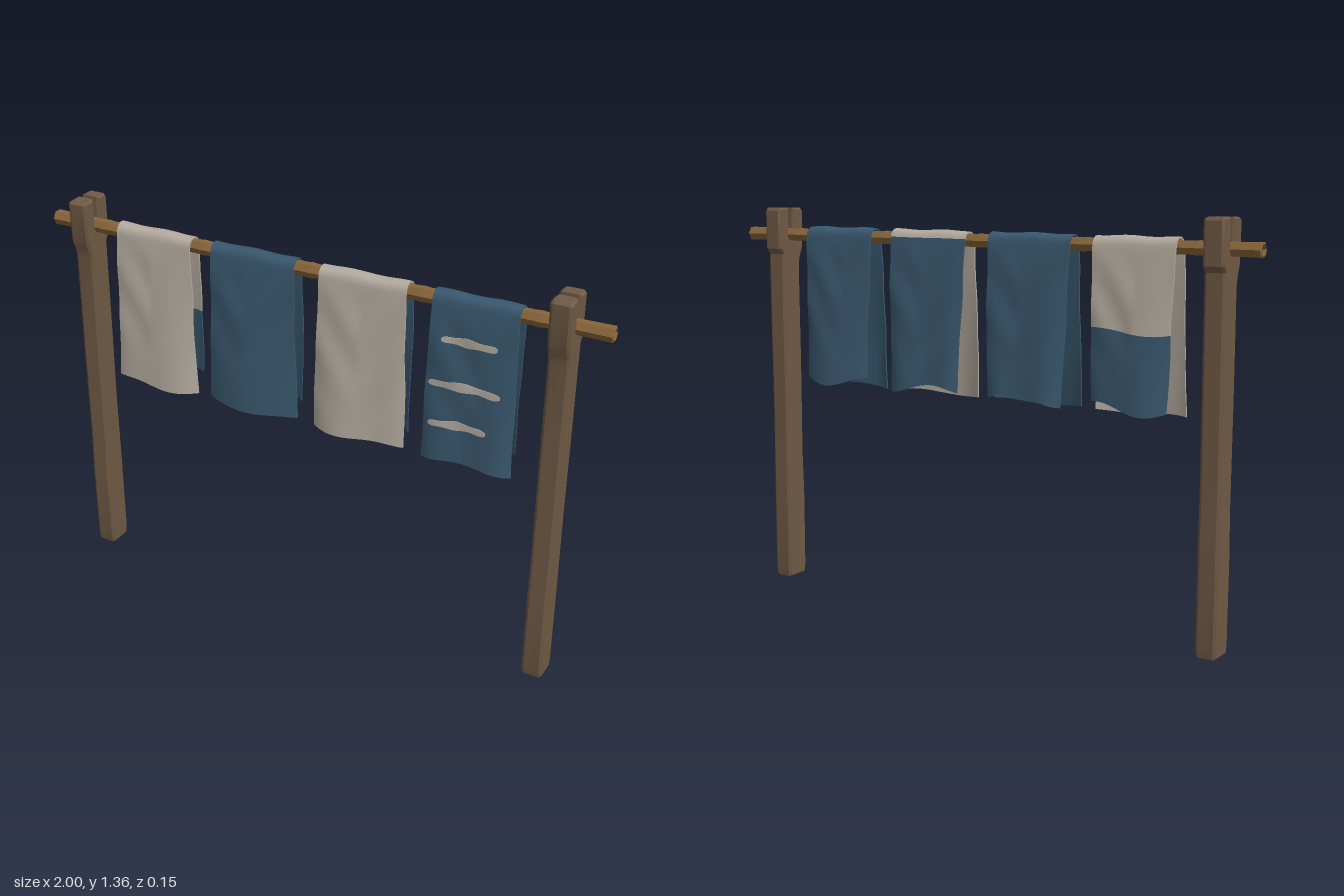
import * as THREE from 'three';
import { toCreasedNormals } from 'three/addons/utils/BufferGeometryUtils.js';

const POLE_Y = 1.265, POLE_Z = 0.005, WRAP = 0.031;

const material = (name, color) => Object.assign(new THREE.MeshStandardMaterial({ color }), { name });

function addMesh(parent, name, geometry, mat) {
  const mesh = new THREE.Mesh(geometry, mat);
  mesh.name = name;
  parent.add(mesh);
  return mesh;
}

// Post with a wider, notched head; profile is [z, y], extruded along x
function postGeometry() {
  const profile = [
    [0.044, 0], [0.05, 0.03], [0.052, 0.3], [0.047, 0.46], [0.049, 0.8], [0.047, 1.15],
    [0.052, 1.18], [0.066, 1.215], [0.07, 1.35], [0.062, 1.358], [0.017, 1.36], [0.017, 1.285],
    [-0.006, 1.285], [-0.006, 1.36], [-0.05, 1.36], [-0.056, 1.35], [-0.056, 1.215],
    [-0.041, 1.195], [-0.04, 0.9], [-0.037, 0.6], [-0.04, 0.35], [-0.041, 0.03], [-0.036, 0],
  ];
  const shape = new THREE.Shape(profile.map(([z, y]) => new THREE.Vector2(-z, y)));
  const g = new THREE.ExtrudeGeometry(shape, {
    depth: 0.052, bevelEnabled: true, bevelSize: 0.006, bevelThickness: 0.009, bevelOffset: -0.006, bevelSegments: 1,
  });
  g.translate(0, 0, -0.026).rotateY(Math.PI / 2);
  return toCreasedNormals(g, 0.5);
}

// Six-sided pole with swollen joints and hollowed ends
function poleGeometry() {
  const pts = [[0, -0.985], [0.017, -0.985], [0.02, -1], [0.026, -0.997], [0.025, -0.95]];
  for (const x of [-0.79, -0.4, 0, 0.39, 0.77]) pts.push([0.024, x - 0.02], [0.026, x], [0.024, x + 0.02]);
  pts.push([0.025, 0.95], [0.026, 0.997], [0.02, 1], [0.017, 0.985], [0, 0.985]);
  const g = new THREE.LatheGeometry(pts.map(([r, x]) => new THREE.Vector2(r, x)), 6);
  g.rotateZ(-Math.PI / 2).translate(0, POLE_Y, POLE_Z);
  return toCreasedNormals(g, 0.6);
}

// Point on a draped towel: u runs -1..1 across, v runs 0..1 from front hem over the pole to back hem
function drape(towel, u, v, offset) {
  const front = v < 0.45, back = v > 0.55;
  const t = front ? (0.45 - v) / 0.45 : back ? (v - 0.55) / 0.45 : 0;
  const a = front ? 0 : back ? Math.PI : (v - 0.45) * 10 * Math.PI;
  const s = towel.seed + (back ? 2.3 : 0);
  const side = Math.cos(a);
  const flare = (back ? 0.043 : 0.032) * Math.pow(t, 0.8);
  const curl = -0.022 * Math.pow(u, 4) * t;
  const hang = 0.006 * t * Math.sin(3.6 * u + s);
  const swag = 0.005 * Math.sin(Math.PI * t) * (1 - t) * Math.sin(13 * (t + 0.45 * Math.abs(u + 0.2 * Math.sin(s))) + s);
  const r = WRAP + offset;
  const drop = back ? 0.505 + 0.018 * Math.sin(2.4 * u + s) : 0.53 + 0.006 * Math.sin(3 * u + s);
  const half = towel.half + (back ? -0.014 * t : 0.013 * t) + 0.003 * Math.sin(7 * t + s) * t;
  return [
    towel.x + u * half,
    POLE_Y + r * Math.sin(a) - t * drop + 0.002 * Math.sin(a) * Math.sin(5 * u + s),
    POLE_Z + side * (r + flare + curl + hang + swag),
  ];
}

// Closed cloth shell between two lengths, from a loop of cross-sections
function clothGeometry(towel, v0, v1, u0 = -1, u1 = 1, inner = -0.006, outer = 0, edge = null) {
  const N = 22, M = Math.max(4, Math.round((v1 - v0) * 80)), ring = 2 * N + 2;
  const pos = [], index = [];
  for (let j = 0; j <= M; j++) {
    for (let i = 0; i < ring; i++) {
      const k = i <= N ? i : ring - 1 - i;
      const u = u0 + (u1 - u0) * k / N;
      const grow = edge ? edge(k / N) : 1;
      const mid = (v0 + v1) / 2;
      const v = mid + (v0 + (v1 - v0) * j / M - mid) * grow;
      pos.push(...drape(towel, u, v, i <= N ? outer : inner));
    }
  }
  for (let j = 0; j < M; j++) {
    for (let i = 0; i < ring; i++) {
      const a = j * ring + i, b = j * ring + (i + 1) % ring;
      index.push(a, b, b + ring, a, b + ring, a + ring);
    }
  }
  for (let i = 0; i < N; i++) {
    const o = i, p = ring - 1 - i, e = M * ring;
    index.push(o, p, p - 1, o, p - 1, o + 1);
    index.push(e + o, e + p - 1, e + p, e + o, e + o + 1, e + p - 1);
  }
  const g = new THREE.BufferGeometry();
  g.setAttribute('position', new THREE.Float32BufferAttribute(pos, 3));
  g.setIndex(index);
  return toCreasedNormals(g, 0.9);
}

export function createModel() {
  const wood = material('post wood', 0x705a45);
  const bamboo = material('pole wood', 0x87653a);
  const dark = material('hollow wood', 0x4a3826);
  const linen = material('pale linen', 0xb5aca0);
  const blue = material('blue cloth', 0x39586f);

  const model = new THREE.Group();
  model.name = 'clothesRack';

  // Posts
  const post = postGeometry();
  addMesh(model, 'rightPost', post, wood).position.x = -0.865;
  addMesh(model, 'leftPost', post, wood).position.x = 0.85;

  // Pole and its dark hollow ends
  addMesh(model, 'pole', poleGeometry(), bamboo);
  for (const s of [-1, 1]) {
    const end = addMesh(model, 'poleHollow', new THREE.CircleGeometry(0.016, 6), dark);
    end.position.set(s * 0.988, POLE_Y, POLE_Z);
    end.rotation.y = s * Math.PI / 2;
  }

  // Towels; each section is [end of length, colour]
  const towels = [
    { x: -0.585, half: 0.144, seed: 0.4, sections: [[0.785, linen], [1, blue]] },
    { x: -0.205, half: 0.154, seed: 1.9, sections: [[1, blue]] },
    { x: 0.193, half: 0.152, seed: 3.1, sections: [[0.545, linen], [1, blue]] },
    { x: 0.575, half: 0.142, seed: 5.0, sections: [[1, blue]] },
  ];
  towels.forEach((towel, n) => {
    const group = new THREE.Group();
    group.name = 'towel' + (n + 1);
    let start = 0;
    for (const [end, mat] of towel.sections) {
      addMesh(group, mat === linen ? 'paleCloth' : 'blueCloth', clothGeometry(towel, start, end), mat);
      start = end;
    }
    model.add(group);
  });

  // Pale uneven stripes on the front of the last towel: [height, left x, right x]
  const striped = towels[3];
  const uneven = (k) => 0.3 + 0.7 * Math.pow(Math.sin(Math.PI * k), 0.4) * (0.8 + 0.25 * Math.cos(4 * Math.PI * k + 0.5));
  for (const [y, xa, xb] of [[1.15, 0.47, 0.66], [1.0, 0.437, 0.68], [0.865, 0.445, 0.64]]) {
    const v = 0.45 * (1 - (POLE_Y - y) / 0.53);
    const u = (x) => (x - striped.x) / 0.15;
    addMesh(model.getObjectByName('towel4'), 'stripe',
      clothGeometry(striped, v - 0.013, v + 0.013, u(xa), u(xb), -0.001, 0.0025, uneven), linen);
  }
  return model;
}
